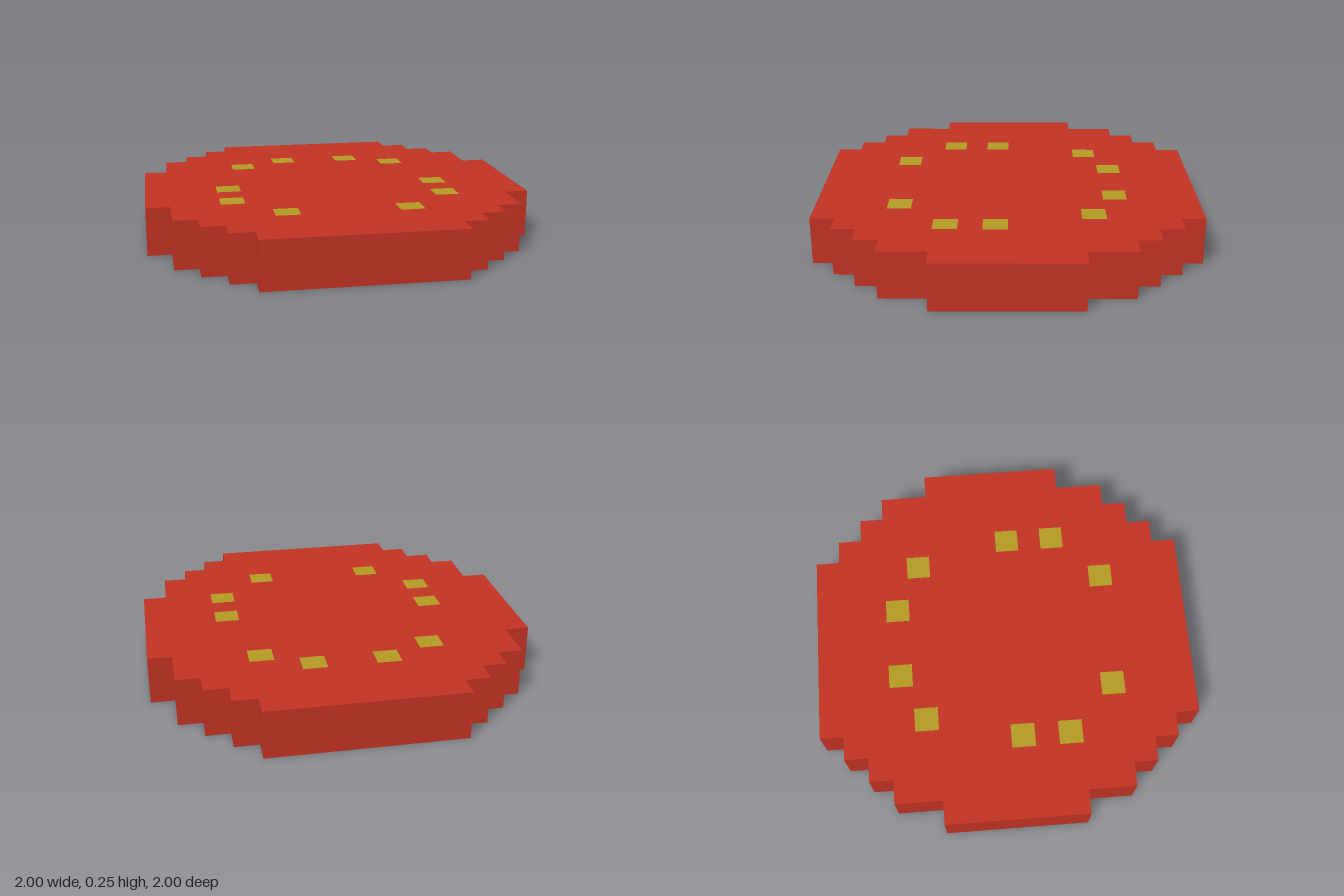
import * as THREE from 'three';

const CELL = 0.125;
const HEIGHT = 0.25;

// Stepped corner of the outline, in cells, from the side edge to the end edge
const CORNER = [[8, 3], [7, 3], [7, 5], [6, 5], [6, 6], [5, 6], [5, 7], [4, 7], [4, 8]];

// Spot centres (x, z) in cells, mirrored across x
const SPOTS = [[3.5, -3.5], [1.5, -4.5], [4.5, 0.5], [4.5, 2.5], [2.5, 4.5]];

export function createModel() {
  const red = new THREE.MeshStandardMaterial({ color: 0xc43323 });
  red.name = 'red';
  const mustard = new THREE.MeshStandardMaterial({ color: 0xb59b23 });
  mustard.name = 'mustard';

  const group = new THREE.Group();
  group.name = 'spottedDisc';

  // Outline: the corner mirrored into four quadrants, counter-clockwise
  const back = [...CORNER].reverse();
  const outline = [
    ...CORNER,
    ...back.map(([x, y]) => [-x, y]),
    ...CORNER.map(([x, y]) => [-x, -y]),
    ...back.map(([x, y]) => [x, -y]),
  ].map(([x, y]) => new THREE.Vector2(x * CELL, y * CELL));
  const shape = new THREE.Shape(outline);

  // Square spots run right through the disc and show on both faces
  const spotGeometry = new THREE.BoxGeometry(CELL, HEIGHT, CELL);
  const h = CELL / 2;
  for (const [cx, cz] of SPOTS) {
    for (const side of [1, -1]) {
      const x = side * cx * CELL;
      const z = cz * CELL;
      shape.holes.push(new THREE.Path([[-h, -h], [-h, h], [h, h], [h, -h]]
        .map(([dx, dy]) => new THREE.Vector2(x + dx, -z + dy))));
      const spot = new THREE.Mesh(spotGeometry, mustard);
      spot.name = 'spot';
      spot.position.set(x, HEIGHT / 2, z);
      group.add(spot);
    }
  }

  // Disc body, laid flat on the ground
  const bodyGeometry = new THREE.ExtrudeGeometry(shape, { depth: HEIGHT, bevelEnabled: false });
  bodyGeometry.rotateX(-Math.PI / 2);
  const body = new THREE.Mesh(bodyGeometry, red);
  body.name = 'discBody';
  group.add(body);

  return group;
}
